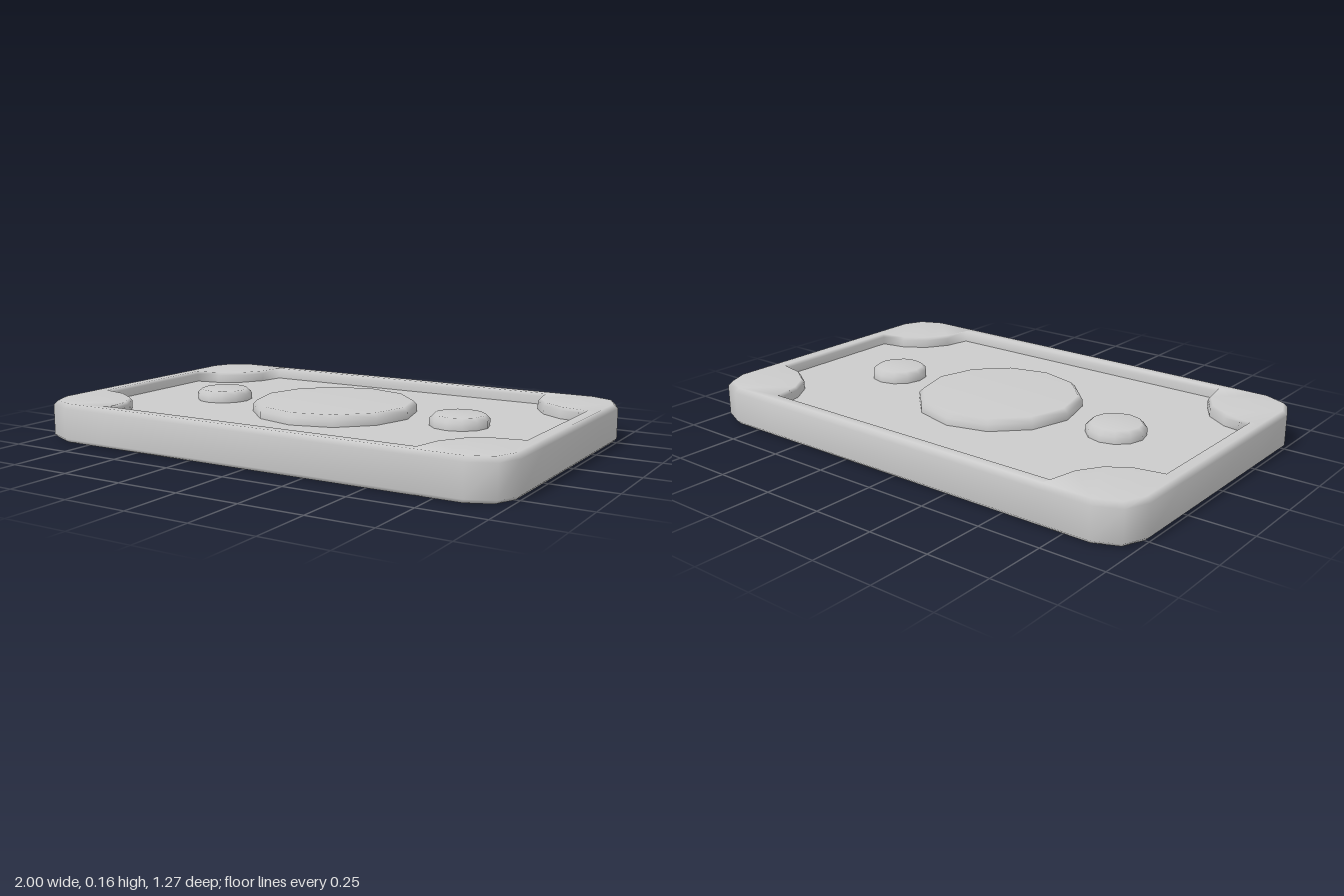
import * as THREE from 'three';

const material = new THREE.MeshStandardMaterial({ color: 0xcccccc });

// Mirror one corner's points into a closed outline running from +x towards +z
function outline(corner) {
  const back = [...corner].reverse();
  return [
    ...corner,
    ...back.map(([x, z]) => [-x, z]),
    ...corner.map(([x, z]) => [-x, -z]),
    ...back.map(([x, z]) => [x, -z]),
  ];
}

// Grow (positive) or shrink (negative) an outline with mitred corners
function offset(points, d) {
  const n = points.length;
  const normal = (a, b) => {
    const dx = b[0] - a[0], dz = b[1] - a[1], l = Math.hypot(dx, dz);
    return [dz / l, -dx / l];
  };
  return points.map((p, i) => {
    const a = normal(points[(i + n - 1) % n], p);
    const b = normal(p, points[(i + 1) % n]);
    const k = d / (1 + a[0] * b[0] + a[1] * b[1]);
    return [p[0] + (a[0] + b[0]) * k, p[1] + (a[1] + b[1]) * k];
  });
}

// Skin a stack of matching rings, each { points, y }
function loft(name, rings) {
  const n = rings[0].points.length;
  const positions = [], index = [];
  for (const { points, y } of rings) for (const [x, z] of points) positions.push(x, y, z);
  for (let r = 0; r < rings.length - 1; r++) {
    for (let i = 0; i < n; i++) {
      const j = (i + 1) % n;
      const a = r * n + i, b = r * n + j, c = a + n, d = b + n;
      index.push(a, c, b, b, c, d);
    }
  }
  const geometry = new THREE.BufferGeometry();
  geometry.setAttribute('position', new THREE.Float32BufferAttribute(positions, 3));
  geometry.setIndex(index);
  geometry.computeVertexNormals();
  const mesh = new THREE.Mesh(geometry, material);
  mesh.name = name;
  return mesh;
}

// Raised twelve-sided disc with a softened rim
function disc(name, radius, x, floorY, topY) {
  const profile = [
    [radius, floorY], [radius, topY - 0.017], [radius - 0.018, topY], [0, topY],
  ].map(([r, y]) => new THREE.Vector2(r, y));
  const mesh = new THREE.Mesh(new THREE.LatheGeometry(profile, 12), material);
  mesh.name = name;
  mesh.position.x = x;
  return mesh;
}

export function createModel() {
  const model = new THREE.Group();
  model.name = 'banknoteSlab';
  const top = 0.155, floorY = 0.11;

  const outer = outline([[1, 0.295], [1, 0.5], [0.96, 0.592], [0.86, 0.637], [0.66, 0.637]]);
  const inner = outline([[0.932, 0.298], [0.828, 0.318], [0.738, 0.375], [0.68, 0.465], [0.66, 0.572]]);
  const centre = outer.map(() => [0, 0]);

  // Underside, bevelled sides, frame top and recess walls in one skin
  model.add(loft('frame', [
    { points: centre, y: 0 },
    { points: offset(outer, -0.016), y: 0 },
    { points: outer, y: 0.016 },
    { points: outer, y: top - 0.018 },
    { points: offset(outer, -0.018), y: top },
    { points: offset(inner, 0.01), y: top },
    { points: inner, y: top - 0.012 },
    { points: inner, y: floorY },
  ]));

  // Flat recessed panel
  model.add(loft('recessFloor', [
    { points: inner, y: floorY },
    { points: centre, y: floorY },
  ]));

  // Raised medallion and side dots
  model.add(disc('medallion', 0.33, 0, floorY, top));
  for (const side of [-1, 1]) {
    model.add(disc(side > 0 ? 'leftDot' : 'rightDot', 0.115, side * 0.55, floorY, top));
  }
  return model;
}
